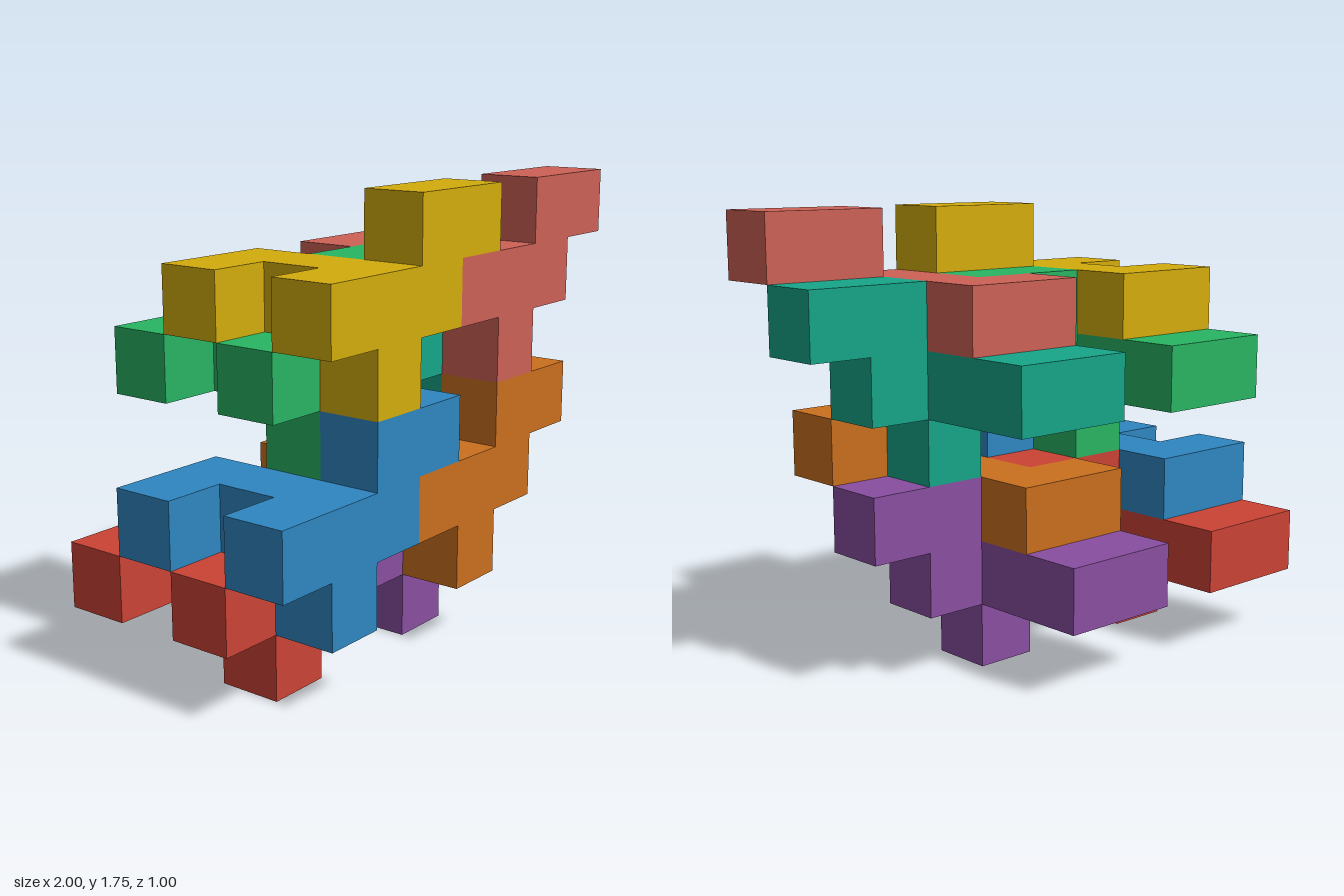
import * as THREE from 'three';
import { mergeGeometries } from 'three/addons/utils/BufferGeometryUtils.js';

const UNIT = 0.25;

// Unit cells of one puzzle piece: a cross with two bent arms
const CELLS = [
  [0, 2, 3], [1, 2, 3], [2, 2, 3], // crossbar
  [2, 3, 3], [3, 3, 3],            // raised arm
  [1, 1, 3],                       // foot
  [1, 2, 2], [1, 2, 1], [0, 2, 1], // rear hook
];

// Each piece: name, colour, offset in cells
const PIECES = [
  ['bluePiece', 0x2e86c1, [0, 0, 0]],
  ['orangePiece', 0xca6f1e, [3, 0, 0]],
  ['yellowPiece', 0xd4ac0d, [1, 3, 0]],
  ['salmonPiece', 0xcd6155, [4, 3, 0]],
  ['redPiece', 0xcb4335, [0, -1, -1]],
  ['purplePiece', 0x884ea0, [3, -1, -1]],
  ['greenPiece', 0x28b463, [1, 2, -1]],
  ['tealPiece', 0x17a589, [4, 2, -1]],
];

// Outward directions with the turn that points a plane (+z) that way
const SIDES = [
  [[0, 0, 1], 0, 0], [[0, 0, -1], 0, Math.PI],
  [[1, 0, 0], 0, Math.PI / 2], [[-1, 0, 0], 0, -Math.PI / 2],
  [[0, 1, 0], -Math.PI / 2, 0], [[0, -1, 0], Math.PI / 2, 0],
];

// Closed outer skin of the piece: only faces without a neighbouring cell
function pieceGeometry() {
  const filled = new Set(CELLS.map(String));
  const faces = [];
  for (const cell of CELLS) {
    for (const [dir, turnX, turnY] of SIDES) {
      if (filled.has(String(cell.map((c, a) => c + dir[a])))) continue;
      const face = new THREE.PlaneGeometry(UNIT, UNIT).rotateX(turnX).rotateY(turnY);
      face.translate(...cell.map((c, a) => (c + 0.5 + dir[a] / 2) * UNIT));
      faces.push(face);
    }
  }
  return mergeGeometries(faces);
}

export function createModel() {
  const model = new THREE.Group();
  model.name = 'interlockingPieces';
  const geometry = pieceGeometry();
  for (const [name, color, [x, y, z]] of PIECES) {
    const piece = new THREE.Mesh(geometry, new THREE.MeshStandardMaterial({ color }));
    piece.name = name;
    piece.position.set(x * UNIT - 1, y * UNIT, z * UNIT - 0.5);
    model.add(piece);
  }
  return model;
}
